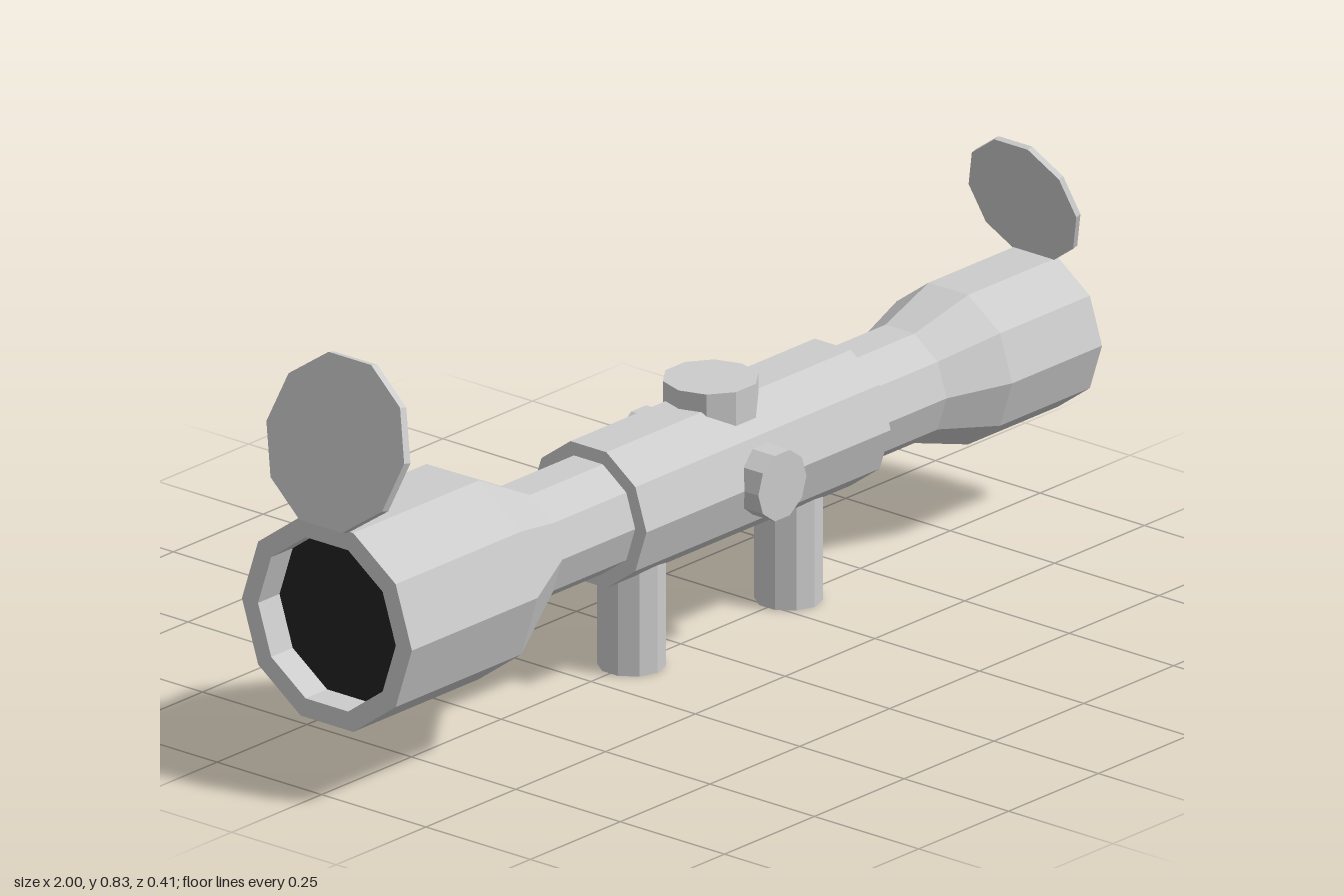
import * as THREE from 'three';

const SIDES = 10;
const AXIS_Y = 0.327;

export function createModel() {
  const model = new THREE.Group();
  const grey = new THREE.MeshStandardMaterial({ color: 0xcccccc, flatShading: true });
  const dark = new THREE.MeshStandardMaterial({ color: 0x222222, flatShading: true });

  const add = (name, geometry, x, y, z, material = grey) => {
    const mesh = new THREE.Mesh(geometry, material);
    mesh.name = name;
    mesh.position.set(x, y, z);
    model.add(mesh);
    return mesh;
  };
  const prism = (radius, length) => new THREE.CylinderGeometry(radius, radius, length, SIDES);
  // Prism lying along x, with flats on top and bottom
  const prismX = (radius, length) => prism(radius, length).rotateZ(-Math.PI / 2);

  // Main tube with both flared ends and their recesses: [radius, x]
  const profile = [
    [0.165, -0.92], [0.165, -0.985], [0.2035, -0.985], [0.2035, -0.635],
    [0.112, -0.46], [0.112, 0.61], [0.153, 0.745], [0.153, 0.995],
    [0.1235, 0.995], [0.1235, 0.92],
  ].map(([r, x]) => new THREE.Vector2(r, x));
  add('tube', new THREE.LatheGeometry(profile, SIDES).rotateZ(-Math.PI / 2), 0, AXIS_Y, 0);

  // Thicker middle sleeve
  add('sleeve', prismX(0.139, 0.68), 0.083, AXIS_Y, 0);

  // Dark lenses at the bottom of the recesses
  add('objectiveLens', prismX(0.167, 0.01), -0.92, AXIS_Y, 0, dark);
  add('eyepieceLens', prismX(0.1255, 0.01), 0.92, AXIS_Y, 0, dark);

  // Open flip caps, leaning inwards
  const tilt = THREE.MathUtils.degToRad(15);
  add('objectiveCap', prismX(0.165, 0.018), -0.953, 0.672, 0).rotation.z = -tilt;
  add('eyepieceCap', prismX(0.129, 0.012), 0.957, 0.585, 0).rotation.z = tilt;

  // Adjustment knobs on top and on both sides
  add('topKnob', prism(0.089, 0.1).rotateY(Math.PI / 2), 0.083, 0.445, 0);
  for (const side of [1, -1]) {
    const knob = prism(0.067, 0.08).rotateY(Math.PI / 2).rotateX(Math.PI / 2);
    add(side > 0 ? 'frontKnob' : 'backKnob', knob, 0.083, AXIS_Y, side * 0.132);
  }

  // Mounting posts
  for (const x of [-0.137, 0.3]) add('mountPost', prism(0.0625, 0.25), x, 0.125, 0);

  return model;
}
